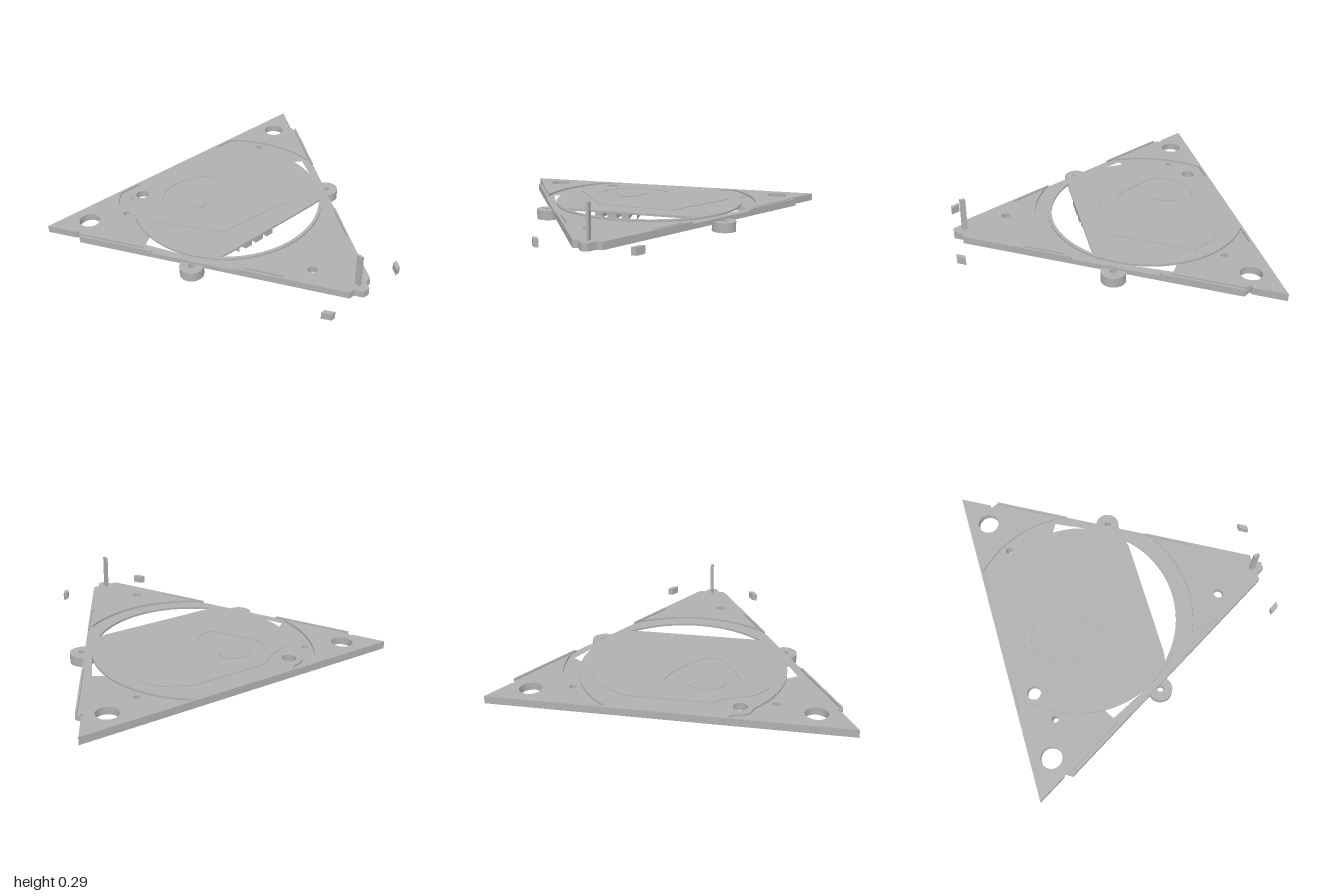
import * as THREE from 'three';

const CZ = -0.335; // centre of the round opening
const V = (x, z) => new THREE.Vector2(x, z);
const pts = (list) => list.map(([x, z]) => V(x, z));
const flip = (list) => list.map((p) => V(-p.x, p.y)).reverse();

// Arc round the opening: 0 deg is -x, 90 deg is the front
function arc(r, a0, a1, n = 40) {
  return Array.from({ length: n + 1 }, (_, i) => {
    const a = THREE.MathUtils.degToRad(a0 + ((a1 - a0) * i) / n);
    return V(-r * Math.cos(a), CZ + r * Math.sin(a));
  });
}
const circle = (x, z, r, n = 32) =>
  Array.from({ length: n }, (_, i) => {
    const a = (i / n) * Math.PI * 2;
    return V(x + r * Math.cos(a), z + r * Math.sin(a));
  });
const spline = (list, n = 32) => new THREE.SplineCurve(pts(list)).getPoints(n);

// x of the slanted left edge at depth z, moved inwards by d
const edge = (z, d = 0) => -0.915 + (z + 0.64) / 1.735 + d;

// Flat slab with outline in x/z, between heights y0 and y1
function slab(outline, y0, y1, holes = []) {
  const shape = new THREE.Shape(outline);
  holes.forEach((h) => shape.holes.push(new THREE.Path(h)));
  const g = new THREE.ExtrudeGeometry(shape, { depth: y1 - y0, bevelEnabled: false, curveSegments: 1 });
  g.rotateX(Math.PI / 2);
  g.translate(0, y1, 0);
  return g;
}

export function createModel() {
  const group = new THREE.Group();
  const grey = new THREE.MeshStandardMaterial({ color: 0xb0b0b0 });
  grey.name = 'plain grey';
  const add = (name, geometry) => {
    const mesh = new THREE.Mesh(geometry, grey);
    mesh.name = name;
    group.add(mesh);
  };
  const Y0 = 0.045, YM = 0.077, Y1 = 0.09;

  // Triangular base with crescent opening, side wedges and screw holes
  const leftSide = pts([[-1, -0.855], [-0.905, -0.69], [-0.885, -0.685], [-0.915, -0.64],
    [-0.085, 0.8], [-0.05, 0.8], [-0.02, 0.85]]);
  const channel = spline([[0.05, 0.085], [0, -0.25], [-0.02, -0.45], [-0.08, -0.58], [-0.19, -0.64],
    [-0.3, -0.6], [-0.35, -0.5], [-0.33, -0.35], [-0.27, 0.085]]);
  const crescent = [...arc(0.585, 45, 135), V(0.36, 0.085), ...channel, V(-0.36, 0.085)];
  const wedge = [V(-0.66, -0.32), ...arc(0.6, 23, -2, 10)];
  const bossHole = circle(-0.38, -0.73, 0.04);
  const tipHole = circle(-0.1, 0.525, 0.028);
  const holes = [crescent, wedge, flip(wedge), bossHole, tipHole];
  for (const s of [-1, 1]) {
    holes.push(circle(s * 0.78, -0.73, 0.063), circle(s * 0.565, -0.65, 0.02));
  }
  add('basePlate', slab([...leftSide, ...flip(leftSide)], Y0, YM, holes));

  // Fingered tongue inside the underside channel
  const tongue = [
    ...spline([[0, 0.085], [-0.05, -0.25], [-0.07, -0.44], [-0.11, -0.53], [-0.19, -0.58],
      [-0.26, -0.55], [-0.295, -0.48], [-0.28, -0.35], [-0.22, 0.085]]),
    ...pts([[-0.17, 0.085], [-0.17, 0], [-0.14, 0], [-0.14, 0.085],
      [-0.08, 0.085], [-0.08, 0], [-0.05, 0], [-0.05, 0.085]])];
  add('undersideTongue', slab(tongue, Y0, YM));

  // Upper layer: round deck joined to the back strip
  const deck = [
    ...pts([[-0.48, -0.855], [-0.48, -0.84], [-0.32, -0.84], [-0.36, -0.81], [-0.4, -0.805], [-0.44, -0.78]]),
    ...arc(0.6, -41, 43), V(-0.36, 0.085), V(0.36, 0.085), ...arc(0.6, 137, 237),
    V(0.48, -0.84), V(0.48, -0.855)];
  add('roundDeck', slab(deck, YM, Y1, [bossHole]));

  // Upper layer: back corners, left open for the ring groove and edge grooves
  const corner = [
    V(-1, -0.855), V(-0.48, -0.855), V(-0.48, -0.84), ...arc(0.69, -46.5, 3),
    V(edge(-0.66, 0.03), -0.66), V(-0.885, -0.685), V(-0.905, -0.69)];
  const cornerHole = circle(-0.78, -0.73, 0.063);
  add('rightBackCorner', slab(corner, YM, Y1, [cornerHole]));
  add('leftBackCorner', slab(flip(corner), YM, Y1, [flip(cornerHole)]));

  // Upper layer: front tip
  const tipSide = [V(edge(0.46, 0.03), 0.46), V(edge(0.46), 0.46), ...leftSide.slice(4)];
  add('frontTip', slab([...arc(0.69, 123, 57), ...tipSide, ...flip(tipSide)], YM, Y1, [tipHole]));
  add('openingRim', slab([...arc(0.585, 40, 140), ...arc(0.605, 140, 40)], YM, Y1));

  // Thin rails along the slanted edges
  for (const [z0, z1] of [[-0.64, -0.24], [0.21, 0.46]]) {
    const rail = [V(edge(z0), z0), V(edge(z0, 0.013), z0), V(edge(z1, 0.013), z1), V(edge(z1), z1)];
    add('rightEdgeRail', slab(rail, YM, Y1));
    add('leftEdgeRail', slab(flip(rail), YM, Y1));
  }

  // Slightly raised panel with a rounded recess and an island
  const panel = pts([[-0.53, -0.49], [-0.25, -0.085], [0.23, -0.04], [0.5, -0.49], [0.42, -0.64],
    [0.25, -0.72], [-0.22, -0.72], [-0.3, -0.66], [-0.45, -0.6]]);
  const recess = spline([[-0.2, -0.2], [-0.36, -0.48], [-0.27, -0.64], [-0.1, -0.67], [0.06, -0.6],
    [0.06, -0.45], [-0.08, -0.25], [-0.2, -0.2]]);
  const island = recess.map((p) => V(-0.17 + (p.x + 0.15) * 0.48, -0.48 + (p.y + 0.45) * 0.48));
  add('raisedPanel', slab(panel, Y1, Y1 + 0.004, [recess]));
  add('panelIsland', slab(island, Y1, Y1 + 0.004));

  // Feet, loose corner clips
  for (const s of [-1, 1]) {
    const side = s < 0 ? 'right' : 'left';
    add(side + 'FrontFoot', slab(circle(s * 0.565, 0, 0.072), 0, 0.06, [circle(s * 0.565, 0, 0.02)]));
    add(side + 'BackFoot', slab(circle(s * 0.565, -0.65, 0.072), 0, Y0, [circle(s * 0.565, -0.65, 0.02)]));
    const clip = pts([[0.285, 0.85], [0.315, 0.8], [0.285, 0.8], [0.255, 0.85]]).map((p) => V(p.x * s, p.y));
    add(side + 'Clip', slab(clip, Y0, Y1));
  }

  // Upright post near the tip
  const post = new THREE.BoxGeometry(0.016, 0.205, 0.035);
  post.translate(0, 0.1925, 0.783);
  add('post', post);
  return group;
}
